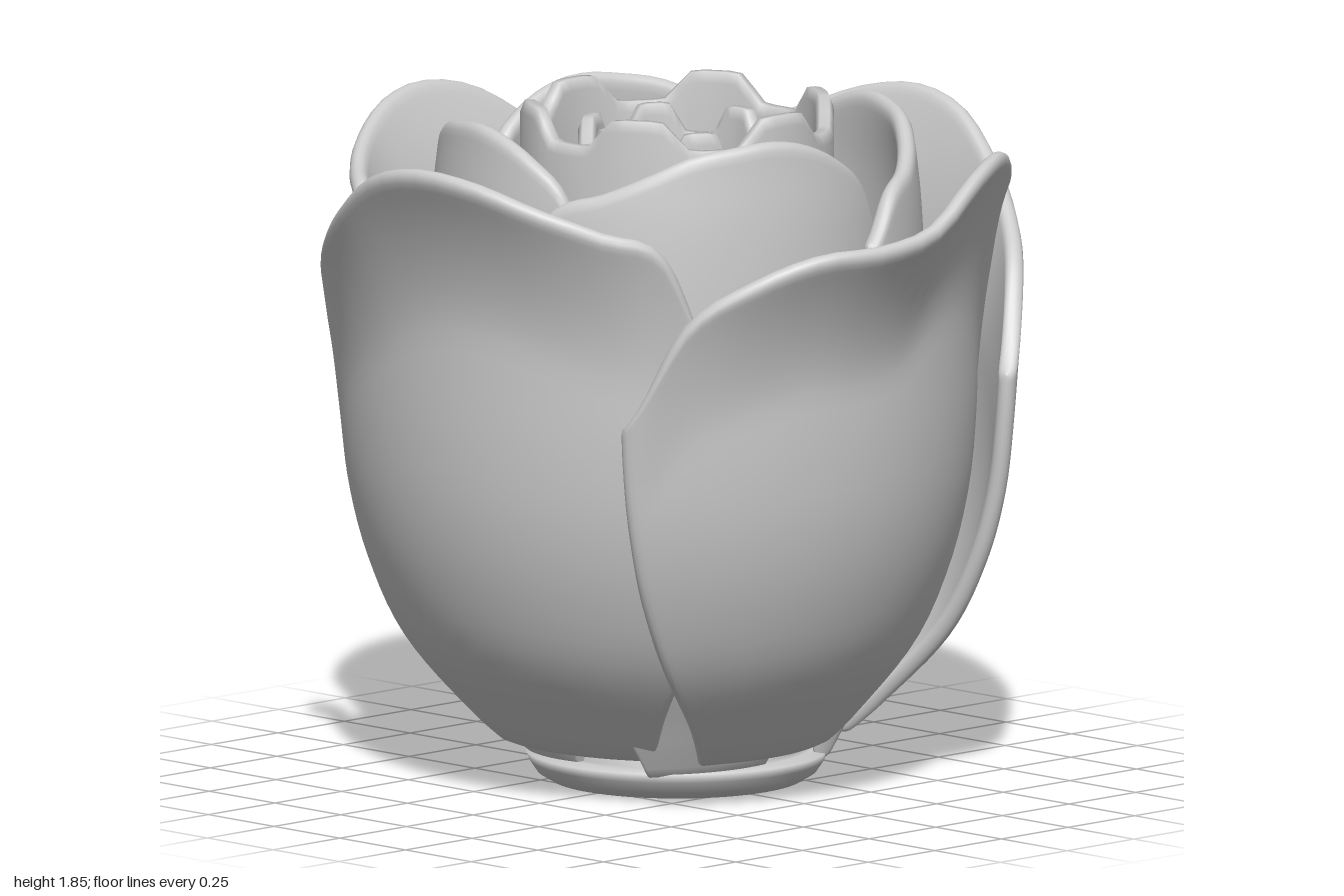
import * as THREE from 'three';
import { mergeVertices } from 'three/addons/utils/BufferGeometryUtils.js';

const material = new THREE.MeshStandardMaterial({ color: 0xcccccc, side: THREE.DoubleSide });
const rad = THREE.MathUtils.degToRad;
const V2 = (p) => new THREE.Vector2(p[0], p[1]);

// Smooth interpolation through evenly spaced values, u in 0..1
function sample(values, u) {
  const n = values.length - 1;
  const i = Math.min(Math.floor(u * n), n - 1);
  const f = u * n - i;
  const at = (k) => values[Math.max(0, Math.min(n, k))];
  const [a, b, c, d] = [at(i - 1), at(i), at(i + 1), at(i + 2)];
  return b + 0.5 * f * (c - a + f * (2 * a - 5 * b + 4 * c - d + f * (3 * (b - c) + d - a)));
}

function smooth(geometry) {
  geometry.deleteAttribute('uv');
  geometry.deleteAttribute('normal');
  const merged = mergeVertices(geometry, 1e-4);
  merged.computeVertexNormals();
  return merged;
}

function addMesh(group, name, geometry) {
  const mesh = new THREE.Mesh(geometry, material);
  mesh.name = name;
  group.add(mesh);
  return mesh;
}

// Curved shell with rounded edges; s runs across the petal (-1..1), t from foot to rim
function petalGeometry({ centre, radii, widths, rim, foot, tilt, curl, flare, thickness }) {
  const point = (s, t) => {
    const y = foot + (sample(rim, (s + 1) / 2) - foot) * t;
    const h = Math.min(1, y / 1.8);
    const angle = rad(centre + s * sample(widths, h));
    const k = Math.max(0, (t - 0.72) / 0.28);
    const r = sample(radii, h) * (1 - tilt * s + curl * s * s) + flare * Math.pow(k, 1.7) * (1 - s * s);
    return new THREE.Vector3(Math.cos(angle) * r, y, -Math.sin(angle) * r);
  };
  const NS = 44, NT = 40, e = 0.004;
  const positions = [], index = [];
  const round = (d) => Math.sqrt(Math.max(0, 1 - Math.pow(1 - Math.min(1, d), 2)));
  for (const side of [1, -1]) {
    const base = positions.length / 3;
    for (let j = 0; j <= NT; j++) {
      const t = 0.5 - 0.5 * Math.cos((Math.PI * j) / NT);
      for (let i = 0; i <= NS; i++) {
        const s = -Math.cos((Math.PI * i) / NS);
        const p = point(s, t);
        const s0 = Math.max(-1, s - e), s1 = Math.min(1, s + e);
        const t0 = Math.max(0, t - e), t1 = Math.min(1, t + e);
        const across = point(s1, t).sub(point(s0, t));
        const up = point(s, t1).sub(point(s, t0));
        const normal = across.cross(up).normalize();
        const half = (thickness / 2) * round((1 - Math.abs(s)) / 0.035) * round(Math.min(t, 1 - t) / 0.018);
        p.addScaledVector(normal, side * half);
        positions.push(p.x, p.y, p.z);
        if (i < NS && j < NT) {
          const a = base + j * (NS + 1) + i, b = a + 1, c = a + NS + 1, d = c + 1;
          if (side > 0) index.push(a, b, d, a, d, c);
          else index.push(a, d, b, a, c, d);
        }
      }
    }
  }
  const geometry = new THREE.BufferGeometry();
  geometry.setAttribute('position', new THREE.Float32BufferAttribute(positions, 3));
  geometry.setIndex(index);
  return smooth(geometry);
}

// Thin cup whose rim is cut into six flat-topped scallops
function crownGeometry(radius, top, bottom, footRadius, dip, phase) {
  const w = 0.05;
  const outer = [[footRadius, bottom], [radius * 1.02, bottom + (top - bottom) * 0.4], [radius * 1.03, top - 0.4],
    [radius, top - 0.2], [radius, top - 0.03], [radius - 0.012, top]];
  const inner = [[radius - w + 0.012, top], [radius - w, top - 0.03], [radius - w, top - 0.2],
    [radius - w, top - 0.4], [radius * 0.7, bottom + (top - bottom) * 0.5], [0.001, bottom + (top - bottom) * 0.45]];
  const geometry = new THREE.LatheGeometry([...outer, ...inner].map(V2), 72);
  const p = geometry.attributes.position;
  for (let i = 0; i < p.count; i++) {
    const y = p.getY(i);
    const wave = Math.cos(6 * (Math.atan2(p.getX(i), p.getZ(i)) - phase));
    const cut = THREE.MathUtils.clamp(0.5 - wave * 0.9, 0, 1);
    p.setY(i, y - dip * cut * THREE.MathUtils.smoothstep(y, top - 0.3, top - 0.03));
  }
  return smooth(geometry);
}

export function createModel() {
  const rose = new THREE.Group();
  rose.name = 'rose';
  const flower = new THREE.Group();
  flower.name = 'flower';
  flower.position.set(0.035, 0, -0.02);
  rose.add(flower);

  // Base disc with a rounded lower edge and a central hole
  const baseProfile = [[0.06, 0.2], [0.06, 0], [0.31, 0], [0.34, 0.004], [0.375, 0.025], [0.395, 0.055],
    [0.405, 0.08], [0.36, 0.085], [0.33, 0.085], [0.33, 0.2], [0.06, 0.2]];
  addMesh(flower, 'base', new THREE.LatheGeometry(baseProfile.map(V2), 64));

  // Four large outer petals, each overlapping the next
  const plainRim = [1.12, 1.37, 1.5, 1.62, 1.73, 1.77, 1.75, 1.69, 1.63, 1.56, 1.22];
  const foldedRim = [1.1, 1.39, 1.51, 1.575, 1.585, 1.62, 1.73, 1.765, 1.7, 1.57, 1.2];
  const outerPetals = [
    ['rightOuterPetal', 0, 0.09, plainRim],
    ['backOuterPetal', 90, 0.145, plainRim],
    ['leftOuterPetal', 180, 0.155, plainRim],
    ['frontOuterPetal', 270, 0.175, foldedRim],
  ];
  for (const [name, centre, flare, rim] of outerPetals) {
    addMesh(flower, name, petalGeometry({
      centre, flare, rim, foot: 0.12, tilt: 0.07, curl: 0.03, thickness: 0.05,
      radii: [0.29, 0.48, 0.645, 0.735, 0.785, 0.805, 0.81, 0.812, 0.815, 0.82],
      widths: [34, 40, 47, 51, 53, 54, 54, 54, 54, 54],
    }));
  }

  // Four inner petals in the same spiral, set between the outer ones
  for (let i = 0; i < 4; i++) {
    addMesh(flower, 'innerPetal' + (i + 1), petalGeometry({
      centre: 60 + i * 90, flare: 0, foot: 0.07, tilt: 0.085, curl: 0, thickness: 0.05,
      rim: [1.52, 1.65, 1.69, 1.74, 1.79, 1.81, 1.82, 1.8, 1.75, 1.66, 1.42],
      radii: [0.33, 0.42, 0.52, 0.58, 0.605, 0.615, 0.62, 0.62, 0.61, 0.59],
      widths: [24, 32, 44, 50, 53, 55, 55, 55, 55, 55],
    }));
  }

  // Two scalloped cups nested in the middle
  addMesh(flower, 'outerCup', crownGeometry(0.42, 1.85, 0.1, 0.3, 0.08, 0));
  addMesh(flower, 'innerCup', crownGeometry(0.265, 1.79, 0.5, 0.15, 0.08, Math.PI / 6));

  // Round bud at the heart
  const bud = addMesh(flower, 'bud', new THREE.SphereGeometry(0.11, 32, 20));
  bud.position.y = 1.42;
  const budStem = addMesh(flower, 'budStem', new THREE.CylinderGeometry(0.1, 0.1, 0.4, 32));
  budStem.position.y = 1.2;

  return rose;
}
